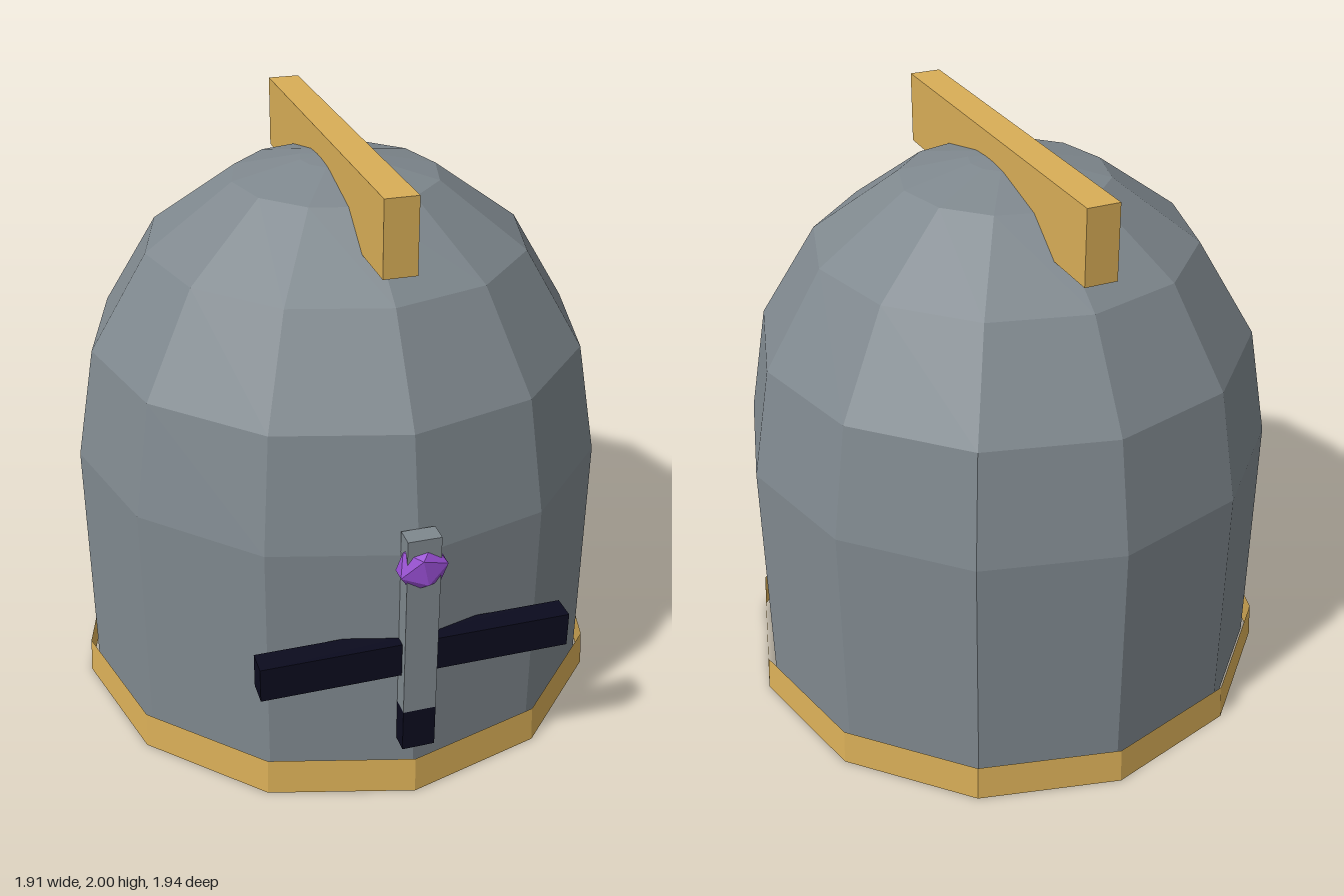
import * as THREE from 'three';

const mat = (name, color, opts = {}) =>
  new THREE.MeshStandardMaterial({ name, color, flatShading: true, ...opts });

export function createModel() {
  const steel = mat('steel grey', 0x7f888e);
  const gold = mat('gold', 0xd9ae57);
  const goldBand = mat('gold band', 0xd9ae57, { side: THREE.DoubleSide });
  const navy = mat('dark navy', 0x0b0b1e);
  const purple = mat('gem purple', 0x9a4fd6);

  const model = new THREE.Group();
  model.name = 'helmet';
  const CZ = -0.015; // helmet axis sits slightly behind the origin

  const add = (name, geometry, material, x, y, z) => {
    const mesh = new THREE.Mesh(geometry, material);
    mesh.name = name;
    mesh.position.set(x, y, z);
    model.add(mesh);
    return mesh;
  };
  // box given by its lower and upper corners
  const box = (name, material, [x0, y0, z0], [x1, y1, z1]) =>
    add(name, new THREE.BoxGeometry(x1 - x0, y1 - y0, z1 - z0), material,
      (x0 + x1) / 2, (y0 + y1) / 2, (z0 + z1) / 2);

  // twelve-sided shell: closed base, straight wall, faceted dome
  const profile = [
    [0, 0.02], [0.92, 0.02], [0.92, 0.925], [0.85, 1.31],
    [0.65, 1.638], [0.352, 1.854], [0.12, 1.908], [0, 1.92],
  ].map(([r, y]) => new THREE.Vector2(r, y));
  add('shell', new THREE.LatheGeometry(profile, 12), steel, 0, 0, CZ);

  // thin flared band around the lower edge
  add('rimBand', new THREE.CylinderGeometry(0.945, 0.953, 0.13, 12, 1, true), goldBand, 0, 0.065, CZ);

  // crest running front to back over the dome
  box('crest', gold, [-0.055, 1.75, -0.695], [0.055, 2, 0.67]);

  // eye slit, nose guard and the dark slot below it
  box('eyeSlit', navy, [-0.517, 0.49, 0.845], [0.517, 0.61, 0.927]);
  box('noseGuard', steel, [-0.055, 0.357, 0.888], [0.055, 1.01, 0.953]);
  box('breathSlot', navy, [-0.055, 0.205, 0.888], [0.055, 0.357, 0.953]);

  // flattened faceted gem on the nose guard
  const gem = add('gem', new THREE.IcosahedronGeometry(0.092, 0), purple, 0, 0.9, 0.932);
  gem.geometry.rotateZ(0.2).scale(1, 0.95, 0.53);

  return model;
}
